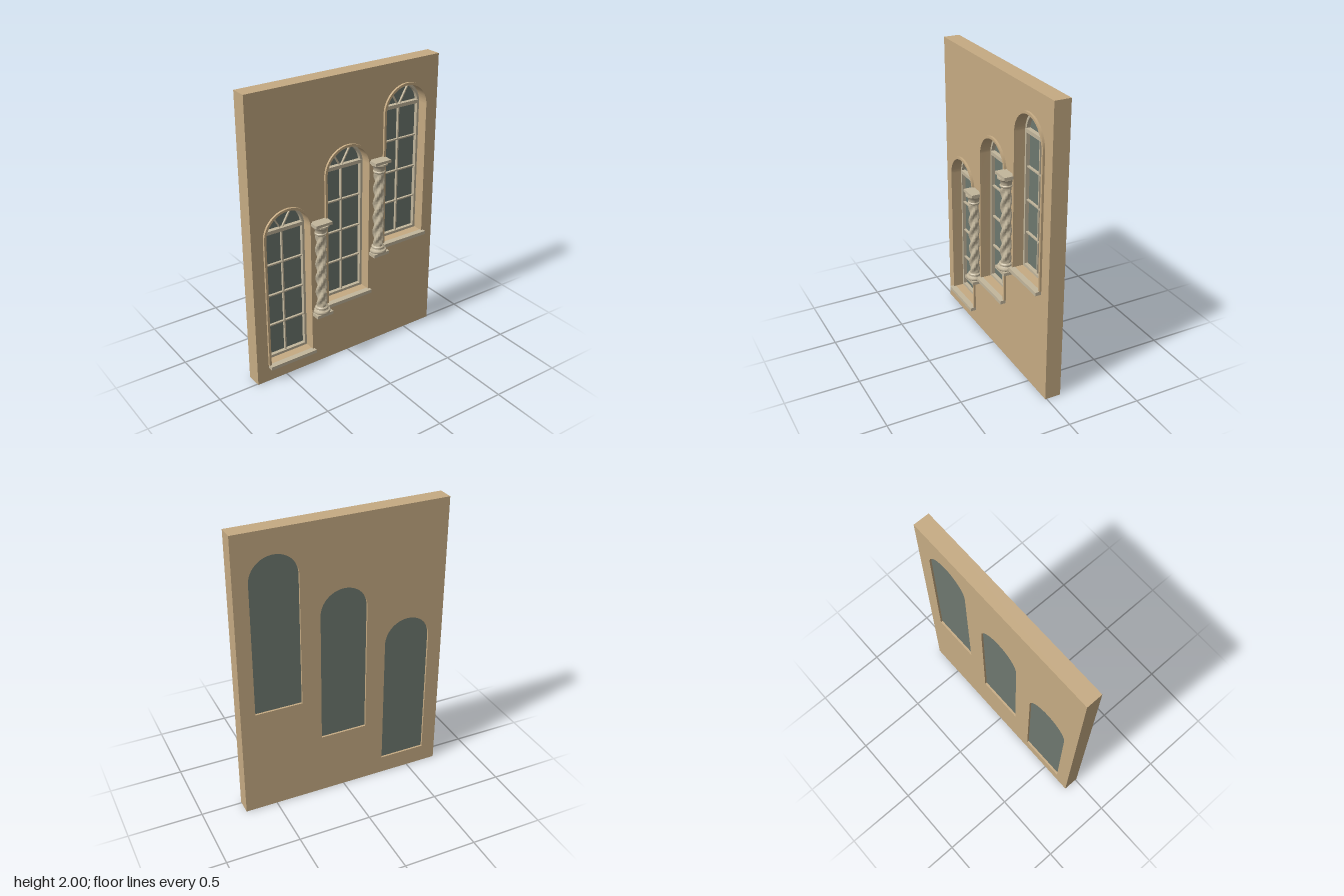
import * as THREE from 'three';
import { toCreasedNormals } from 'three/addons/utils/BufferGeometryUtils.js';

const material = (name, color) => {
  const m = new THREE.MeshStandardMaterial({ color });
  m.name = name;
  return m;
};

// Round-headed outline: straight jambs from y0 up to the springing line
function arch(PathType, r, x, y0, spring) {
  const p = new PathType();
  p.moveTo(x - r, y0);
  p.lineTo(x + r, y0);
  p.lineTo(x + r, spring);
  p.absarc(x, spring, r, 0, Math.PI, false);
  p.lineTo(x - r, y0);
  return p;
}

function extrude(shape, z0, z1) {
  const g = new THREE.ExtrudeGeometry(shape, { depth: z1 - z0, bevelEnabled: false, curveSegments: 32 });
  g.translate(0, 0, z0);
  return toCreasedNormals(g, 0.5);
}

export function createModel() {
  const plaster = material('plaster', 0xc6ab83);
  const stone = material('stone', 0xc2b69c);
  const glass = material('glass', 0x6e786f);

  const model = new THREE.Group();
  model.name = 'archedWindowWall';

  const add = (parent, name, geometry, mat, x = 0, y = 0, z = 0) => {
    const mesh = new THREE.Mesh(geometry, mat);
    mesh.name = name;
    mesh.position.set(x, y, z);
    parent.add(mesh);
    return mesh;
  };
  const box = (parent, name, w, h, d, mat, x, y, z) =>
    add(parent, name, new THREE.BoxGeometry(w, h, d), mat, x, y, z);

  // Three windows climbing from left to right: [x, bottom of opening]
  const windows = [[-0.458, 0.125], [0, 0.44], [0.458, 0.755]];
  const R = 0.162, SPRING = 0.92;

  // Wall pierced by the openings
  const wall = new THREE.Shape([[-0.72, 0], [0.72, 0], [0.72, 2], [-0.72, 2]].map(p => new THREE.Vector2(...p)));
  windows.forEach(([x, y]) => wall.holes.push(arch(THREE.Path, R, x, y, y + SPRING)));
  add(model, 'wall', extrude(wall, -0.1, 0.01), plaster);

  // Shared window geometry, with y = 0 at the bottom of the opening
  const surround = arch(THREE.Shape, 0.178, 0, 0, SPRING);
  surround.holes.push(arch(THREE.Path, R, 0, 0.0005, SPRING));
  const surroundGeo = extrude(surround, 0.01, 0.025);
  const frame = arch(THREE.Shape, R, 0, 0, SPRING);
  frame.holes.push(arch(THREE.Path, 0.146, 0, 0.018, SPRING));
  const frameGeo = extrude(frame, -0.076, -0.05);
  const paneGeo = extrude(arch(THREE.Shape, R, 0, 0, SPRING), -0.086, -0.076);

  windows.forEach(([x, y]) => {
    const w = new THREE.Group();
    w.name = 'window';
    w.position.set(x, y, 0);
    model.add(w);
    add(w, 'surround', surroundGeo, plaster);
    add(w, 'frame', frameGeo, stone);
    add(w, 'pane', paneGeo, glass);
    box(w, 'sill', 0.352, 0.024, 0.04, stone, 0, -0.011, 0.03);
    box(w, 'transom', 0.3, 0.024, 0.03, stone, 0, 0.928, -0.06);
    box(w, 'verticalBar', 0.009, 0.91, 0.018, stone, 0, 0.468, -0.067);
    [0.243, 0.466, 0.69].forEach(h => box(w, 'crossBar', 0.295, 0.009, 0.016, stone, 0, h, -0.067));
    // Two bars fanning out below the arch
    [-1, 1].forEach(s => {
      const a = s * Math.PI / 6, mid = 0.078;
      const bar = box(w, 'fanBar', 0.008, 0.145, 0.014, stone, Math.sin(a) * mid, SPRING + Math.cos(a) * mid, -0.068);
      bar.rotation.z = -a;
    });
  });

  // Twisted shaft: three lobes wound up a cylinder, fading at both ends
  const bottom = 0.066, top = 0.602;
  const shaftGeo = new THREE.CylinderGeometry(1, 1, top - bottom, 36, 72, true);
  const pos = shaftGeo.attributes.position;
  for (let i = 0; i < pos.count; i++) {
    const t = pos.getY(i) / (top - bottom) + 0.5;
    const angle = Math.atan2(pos.getX(i), pos.getZ(i));
    const fade = Math.min(1, t * 14, (1 - t) * 14);
    const r = 0.0325 + 0.0065 * fade * Math.cos(3 * (angle - t * Math.PI * 3.4));
    pos.setXYZ(i, Math.sin(angle) * r, pos.getY(i), Math.cos(angle) * r);
  }
  const twisted = toCreasedNormals(shaftGeo, 1);

  const lathe = points =>
    toCreasedNormals(new THREE.LatheGeometry(points.map(p => new THREE.Vector2(...p)), 32), 0.6);
  const baseGeo = lathe([[0, 0.02], [0.052, 0.02], [0.057, 0.026], [0.058, 0.034], [0.055, 0.041],
    [0.046, 0.044], [0.042, 0.05], [0.044, 0.056], [0.043, 0.062], [0.036, 0.068], [0, 0.068]]);
  const capitalGeo = lathe([[0, 0.598], [0.036, 0.598], [0.041, 0.604], [0.041, 0.61], [0.036, 0.615],
    [0.037, 0.628], [0.042, 0.642], [0.05, 0.652], [0.057, 0.657], [0.057, 0.668], [0, 0.668]]);

  // Columns standing between neighbouring windows
  [[-0.23, 0.39], [0.23, 0.702]].forEach(([x, y]) => {
    const c = new THREE.Group();
    c.name = 'column';
    c.position.set(x, y, 0.04);
    model.add(c);
    box(c, 'plinth', 0.125, 0.022, 0.075, stone, 0, 0.011, 0.0075);
    add(c, 'base', baseGeo, stone);
    add(c, 'twistedShaft', twisted, stone, 0, (bottom + top) / 2);
    add(c, 'capital', capitalGeo, stone);
    box(c, 'abacus', 0.125, 0.02, 0.075, stone, 0, 0.676, 0.0075);
  });

  return model;
}
